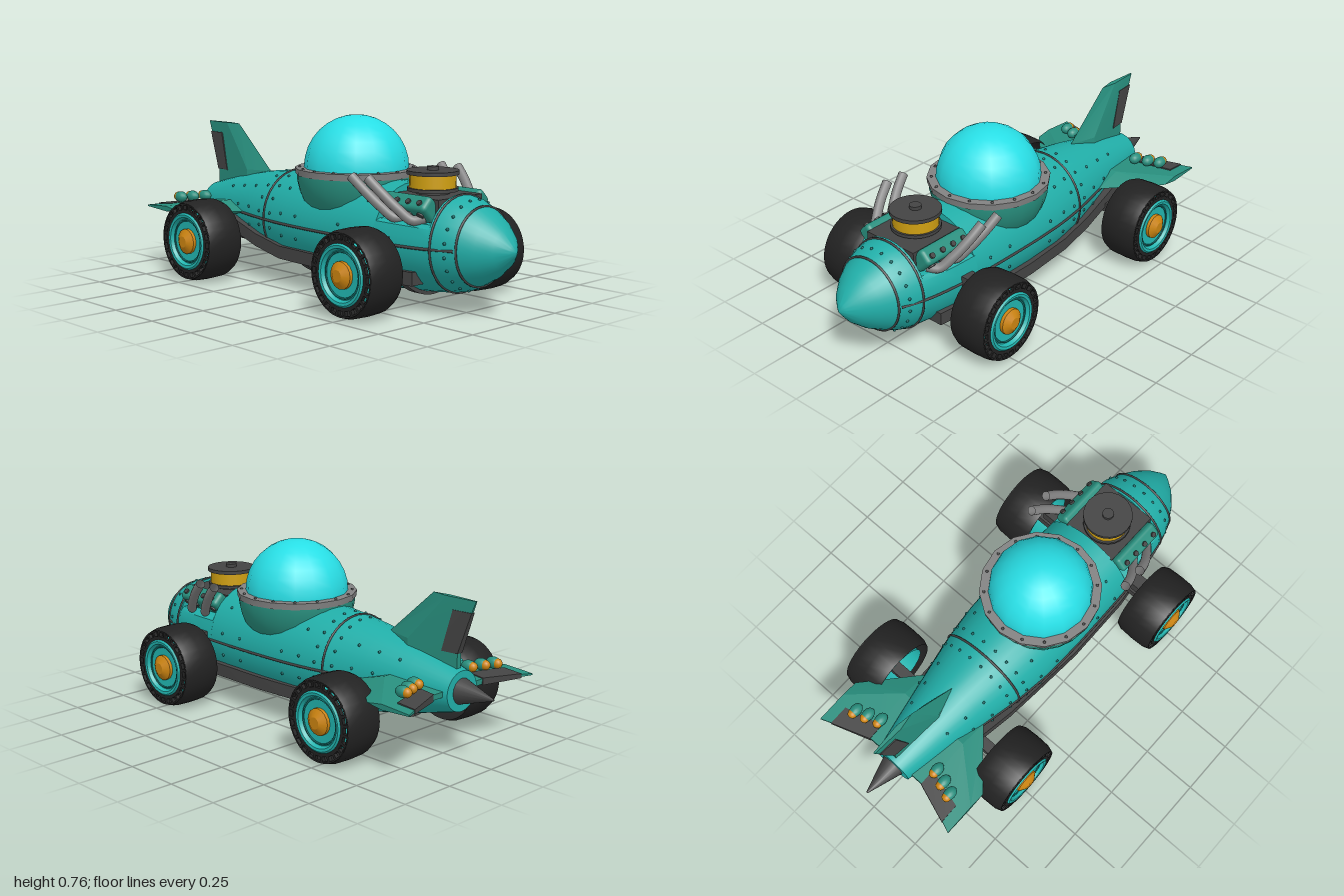
import * as THREE from 'three';
import { toCreasedNormals } from 'three/addons/utils/BufferGeometryUtils.js';
import { RoundedBoxGeometry } from 'three/addons/geometries/RoundedBoxGeometry.js';

const mat = (name, color, side = THREE.FrontSide) => Object.assign(new THREE.MeshStandardMaterial({ color, side }), { name });
const V = (x, y, z) => new THREE.Vector3(x, y, z);

// Body stations, front to back: z, top y, bottom y, half width
const STATIONS = [
  [0.83, 0.44, 0.12, 0.16], [0.77, 0.468, 0.09, 0.185], [0.7, 0.48, 0.075, 0.2], [0.55, 0.492, 0.06, 0.22],
  [0.42, 0.5, 0.052, 0.23], [0.1, 0.505, 0.05, 0.235], [-0.1, 0.5, 0.058, 0.228], [-0.26, 0.485, 0.075, 0.208],
  [-0.45, 0.46, 0.105, 0.17], [-0.65, 0.42, 0.15, 0.13], [-0.84, 0.37, 0.2, 0.09],
];

function section(z) {
  let i = 0;
  while (i < STATIONS.length - 2 && STATIONS[i + 1][0] > z) i++;
  const a = STATIONS[i], b = STATIONS[i + 1], t = THREE.MathUtils.clamp((z - a[0]) / (b[0] - a[0]), 0, 1);
  const [top, bottom, w] = [1, 2, 3].map((k) => a[k] + (b[k] - a[k]) * t);
  return { cy: (top + bottom) / 2, ry: (top - bottom) / 2, w };
}
function onBody(z, angle, grow = 0) {
  const s = section(z);
  return V((s.w + grow) * Math.cos(angle), s.cy + (s.ry + grow) * Math.sin(angle), z);
}
function bodyRing(z, grow = 0, maxY = 9) {
  return Array.from({ length: 32 }, (_, j) => {
    const p = onBody(z, (j / 32) * Math.PI * 2, grow);
    p.y = Math.min(p.y, maxY);
    return p;
  });
}

// Skin through cross-section loops, with both ends capped
function loft(rings, crease = 0.6) {
  const n = rings[0].length, pos = [], idx = [];
  rings.flat().forEach((p) => pos.push(p.x, p.y, p.z));
  for (let i = 0; i < rings.length - 1; i++) for (let j = 0; j < n; j++) {
    const a = i * n + j, b = i * n + (j + 1) % n;
    idx.push(a, a + n, b, b, a + n, b + n);
  }
  for (const [ring, base, flip] of [[rings[0], 0, false], [rings.at(-1), (rings.length - 1) * n, true]]) {
    const c = ring.reduce((s, p) => s.add(p), V(0, 0, 0)).divideScalar(n), ci = pos.length / 3;
    pos.push(c.x, c.y, c.z);
    for (let j = 0; j < n; j++) {
      const a = base + j, b = base + (j + 1) % n;
      idx.push(ci, flip ? b : a, flip ? a : b);
    }
  }
  const g = new THREE.BufferGeometry();
  g.setAttribute('position', new THREE.Float32BufferAttribute(pos, 3));
  g.setIndex(idx);
  return toCreasedNormals(g, crease);
}

export function createModel() {
  const car = new THREE.Group();
  car.name = 'bubbleRacer';
  const teal = mat('bodyTeal', 0x21aea8), green = mat('finGreen', 0x288f7e), glass = mat('domeCyan', 0x28dfe6);
  const dark = mat('darkMetal', 0x444444), grey = mat('pipeGrey', 0x828282, THREE.DoubleSide);
  const black = mat('tyreBlack', 0x222222, THREE.DoubleSide), orange = mat('hubOrange', 0xcc8411);
  const yellow = mat('filterYellow', 0xd0a012), rivetMat = mat('rivetTeal', 0x126b68);
  const rimTeal = mat('rimTeal', 0x21b5b0, THREE.DoubleSide);
  const add = (name, geo, m, p = [0, 0, 0], parent = car) => {
    const mesh = new THREE.Mesh(geo, m);
    mesh.name = name;
    mesh.position.set(...p);
    parent.add(mesh);
    return mesh;
  };
  const cyl = (r1, r2, h, n = 24) => new THREE.CylinderGeometry(r1, r2, h, n);
  const tube = (pts, r, closed = false, seg = 40, sides = 6) =>
    new THREE.TubeGeometry(new THREE.CatmullRomCurve3(pts, closed), seg, r, sides, closed);

  // Hull: nose, front shell, cut-down engine bay, main shell
  const noseRing = (z, r) => Array.from({ length: 32 }, (_, j) => V(r * Math.cos(j * Math.PI / 16), 0.28 + r * Math.sin(j * Math.PI / 16), z));
  add('nose', loft([[1, 0.004], [0.985, 0.027], [0.945, 0.078], [0.89, 0.125], [0.83, 0.16]].map(([z, r]) => noseRing(z, r))), teal);
  add('frontShell', loft([0.83, 0.77, 0.71].map((z) => bodyRing(z))), teal);
  add('engineBay', loft([0.715, 0.64, 0.55, 0.44].map((z) => bodyRing(z, 0, 0.37))), teal);
  add('mainShell', loft([0.445, 0.3, 0.1, -0.1, -0.26, -0.45, -0.65, -0.84].map((z) => bodyRing(z))), teal);
  add('tailCone', cyl(0.004, 0.055, 0.16, 16).rotateX(-Math.PI / 2), dark, [0, 0.285, -0.92]);

  // Panel seams and rivets
  for (const z of [0.83, 0.725, -0.26]) add('ringSeam', tube(bodyRing(z, 0.001), 0.005, true, 48), dark);
  for (const s of [0, Math.PI]) {
    add('sideSeam', tube([0.82, 0.7, 0.55, 0.42, 0.1, -0.1, -0.26, -0.45, -0.6].map((z) => onBody(z, s)), 0.006), dark);
  }
  const rivetGeo = new THREE.SphereGeometry(0.007, 6, 4);
  const rivet = (p, m = rivetMat) => add('rivet', rivetGeo, m, p.toArray());
  for (const z of [0.785, -0.215, -0.305]) for (let j = 0; j < 20; j++) rivet(onBody(z, (j + 0.5) * Math.PI / 10));
  for (const z of [0.36, 0.24, -0.03, -0.13, -0.4, -0.5, -0.6]) for (const a of [0.2, 0.75, -0.25]) {
    rivet(onBody(z, a));
    rivet(onBody(z, Math.PI - a));
  }

  // Bubble cockpit
  const cz = 0.115;
  add('cockpitBowl', new THREE.SphereGeometry(0.258, 24, 10, 0, Math.PI * 2, Math.PI / 2, Math.PI / 2), green, [0, 0.51, cz]);
  add('cockpitCollar', toCreasedNormals(cyl(0.265, 0.262, 0.028, 16), 0.6), grey, [0, 0.516, cz]);
  add('dome', new THREE.SphereGeometry(0.226, 16, 8, 0, Math.PI * 2, 0, Math.PI / 2), glass, [0, 0.53, cz]);
  for (let j = 0; j < 16; j++) rivet(V(0.244 * Math.cos(j * Math.PI / 8), 0.53, cz + 0.244 * Math.sin(j * Math.PI / 8)), dark);

  // Engine with air filter, cylinder heads and exhaust pipes
  add('engineBlock', new THREE.BoxGeometry(0.26, 0.16, 0.27), dark, [0, 0.385, 0.575]);
  for (const [name, r, h, y, m] of [['filterNeck', 0.07, 0.03, 0.465, dark], ['filterBase', 0.105, 0.014, 0.483, dark],
    ['airFilter', 0.096, 0.058, 0.518, yellow], ['filterLid', 0.108, 0.016, 0.552, dark], ['filterNut', 0.025, 0.016, 0.567, dark]]) {
    add(name, cyl(r, r, h), m, [0, y, 0.56]);
  }
  for (const s of [1, -1]) {
    const head = new THREE.Group();
    head.name = 'cylinderHead';
    head.position.set(s * 0.145, 0.425, 0.57);
    head.rotation.z = -s * Math.PI / 4;
    car.add(head);
    add('headCover', new RoundedBoxGeometry(0.075, 0.095, 0.25, 2, 0.018), green, [0, 0, 0], head);
    for (let k = 0; k < 4; k++) {
      add('headBolt', cyl(0.012, 0.012, 0.012, 10), dark, [s * 0.008, 0.049, -0.09 + k * 0.06], head);
      add('exhaustPort', cyl(0.016, 0.016, 0.012, 10).rotateZ(Math.PI / 2), dark, [s * 0.038, 0.01, -0.09 + k * 0.06], head);
    }
    for (const dz of [0, -0.095]) {
      const path = [V(s * 0.15, 0.39, 0.66 + dz), V(s * 0.185, 0.38, 0.625 + dz), V(s * 0.22, 0.425, 0.575 + dz),
        V(s * 0.25, 0.485, 0.515 + dz), V(s * 0.268, 0.54, 0.455 + dz)];
      add('exhaustPipe', tube(path, 0.021, false, 20, 12), grey);
    }
  }

  // Chassis rails and belly hoops
  for (const s of [1, -1]) {
    const rings = [0.64, 0.42, 0.1, -0.15, -0.32, -0.5, -0.67].map((z) => {
      const y = z > -0.2 ? 0.148 : 0.148 + (-0.2 - z) * 0.27, b = section(z);
      const x = s * (b.w * Math.sqrt(Math.max(0, 1 - ((y - b.cy) / b.ry) ** 2)) + 0.008);
      return [[1, 1], [-1, 1], [-1, -1], [1, -1]].map(([i, j]) => V(x + i * 0.032, y + j * 0.028, z));
    });
    add('chassisRail', loft(rings, 0.4), dark);
  }
  for (const z of [0.55, 0.25, -0.05, -0.35, -0.58]) {
    const b = section(z), hoop = new THREE.Shape();
    hoop.absellipse(0, b.cy, b.w + 0.013, b.ry + 0.013, Math.PI + 0.5, 2 * Math.PI - 0.5, false);
    hoop.absellipse(0, b.cy, b.w - 0.015, b.ry - 0.015, 2 * Math.PI - 0.5, Math.PI + 0.5, true);
    add('bellyHoop', new THREE.ExtrudeGeometry(hoop, { depth: 0.04, bevelEnabled: false, curveSegments: 20 }), dark, [0, 0, z - 0.02]);
  }

  // Three matching swept fins, each with a dark trailing flap
  const lerp = THREE.MathUtils.lerp;
  const finAt = (r) => {
    const t = Math.max(0, (r - 0.17) / 0.205);
    return { lead: lerp(-0.45, -0.68, t), trail: lerp(-0.82, -0.9, t), th: lerp(0.038, 0.012, t) };
  };
  const finRing = (r) => {
    const f = finAt(r), m = lerp(f.lead, f.trail, 0.35), e = f.th * 0.3;
    return [V(f.th, r, m), V(0, r, f.lead), V(-f.th, r, m), V(-e, r, f.trail), V(e, r, f.trail)];
  };
  const flapRing = ([r, from]) => {
    const f = finAt(r), half = (k) => f.th * (1 - 0.7 * (k - 0.35) / 0.65) + 0.004;
    const a = lerp(f.lead, f.trail, from), b = f.trail - 0.003;
    return [V(half(from), r, a), V(-half(from), r, a), V(-half(1), r, b), V(half(1), r, b)];
  };
  const finGeo = loft([0.06, 0.17, 0.375].map(finRing), 0.3), flapGeo = loft([[0.15, 0.8], [0.325, 0.66]].map(flapRing), 0.3);
  for (const [name, turn] of [['tailFin', 0], ['leftWing', -Math.PI / 2], ['rightWing', Math.PI / 2]]) {
    const fin = new THREE.Group();
    fin.name = name;
    fin.position.y = 0.287;
    fin.rotation.z = turn;
    car.add(fin);
    add('finBlade', finGeo, green, [0, 0, 0], fin);
    add('finFlap', flapGeo, dark, [0, 0, 0], fin);
  }

  // Tail lights on the wings
  for (const s of [1, -1]) for (const [x, z] of [[0.165, -0.735], [0.222, -0.755], [0.275, -0.775]]) {
    add('lightPod', new THREE.SphereGeometry(0.025, 14, 10).scale(1, 1, 1.4), green, [s * x, 0.331, z]);
    add('tailLight', new THREE.SphereGeometry(0.021, 14, 10), orange, [s * x, 0.331, z - 0.021]);
  }

  // Axles and front arms
  for (const z of [0.5, -0.495]) add('axle', new THREE.BoxGeometry(0.78, 0.042, 0.05), dark, [0, 0.19, z]);
  for (const s of [1, -1]) add('frontArm', new THREE.BoxGeometry(0.12, 0.055, 0.06), dark, [s * 0.23, 0.28, 0.5]);

  // Wheels: open-backed tyre, slotted sidewall, dished rim and pointed hub
  const lathe = (pts) => toCreasedNormals(new THREE.LatheGeometry(pts.map(([r, y]) => new THREE.Vector2(r, y)), 32), 0.5).rotateZ(-Math.PI / 2);
  const tread = lathe([[0.166, -0.09], [0.177, -0.065], [0.18, 0], [0.178, 0.06], [0.168, 0.09]]);
  const rim = lathe([[0.128, -0.08], [0.128, 0.088], [0.12, 0.096], [0.108, 0.094], [0.1, 0.078], [0.02, 0.074]]);
  const wall = new THREE.Shape().absarc(0, 0, 0.169, 0, Math.PI * 2, false);
  wall.holes.push(new THREE.Path().absarc(0, 0, 0.127, 0, Math.PI * 2, true));
  for (let k = 0; k < 24; k++) {
    const a = k * Math.PI / 12;
    const slot = [[0.142, -0.09], [0.142, 0.09], [0.162, 0.09], [0.162, -0.09]].map(([r, d]) => new THREE.Vector2(r * Math.cos(a + d), r * Math.sin(a + d)));
    wall.holes.push(new THREE.Path(slot));
  }
  const wallGeo = new THREE.ExtrudeGeometry(wall, { depth: 0.016, bevelEnabled: false, curveSegments: 24 }).rotateY(Math.PI / 2);
  for (const s of [1, -1]) for (const z of [0.5, -0.495]) {
    const wheel = new THREE.Group();
    wheel.name = z > 0 ? 'frontWheel' : 'rearWheel';
    wheel.position.set(s * 0.371, 0.18, z);
    wheel.rotation.y = s > 0 ? 0 : Math.PI;
    car.add(wheel);
    add('tyreTread', tread, black, [0, 0, 0], wheel);
    add('tyreSidewall', wallGeo, black, [0.073, 0, 0], wheel);
    add('rim', rim, rimTeal, [0, 0, 0], wheel);
    add('rimGroove', new THREE.TorusGeometry(0.093, 0.004, 6, 32).rotateY(Math.PI / 2), rivetMat, [0.079, 0, 0], wheel);
    add('hub', cyl(0.056, 0.056, 0.05, 16).rotateZ(-Math.PI / 2), orange, [0.065, 0, 0], wheel);
    add('hubCap', cyl(0.025, 0.056, 0.02, 16).rotateZ(-Math.PI / 2), orange, [0.1, 0, 0], wheel);
  }
  return car;
}
